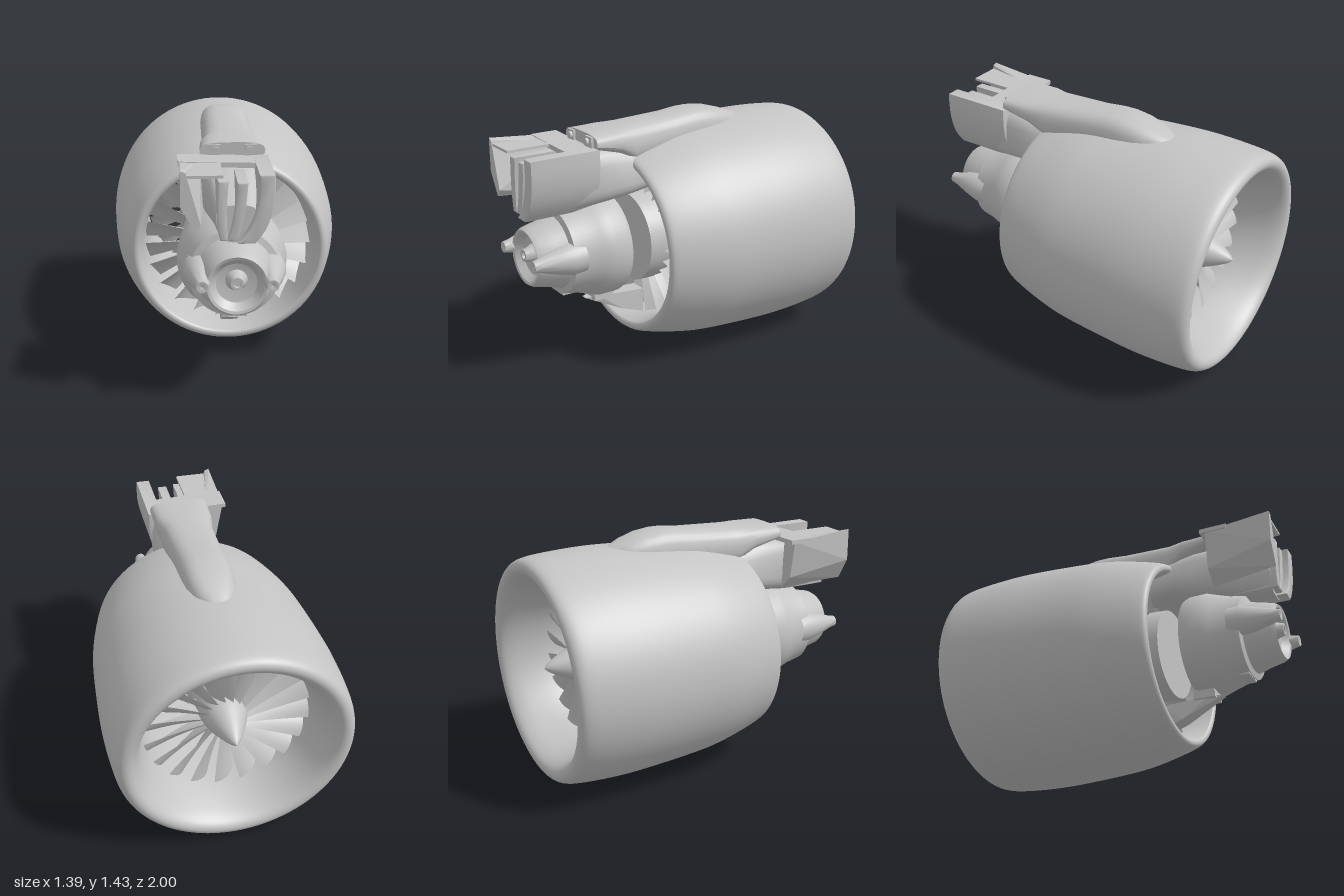
import * as THREE from 'three';
import { mergeVertices, toCreasedNormals } from 'three/addons/utils/BufferGeometryUtils.js';
import { ConvexGeometry } from 'three/addons/geometries/ConvexGeometry.js';

const CY = 0.68; // height of the engine axis

// Lathe around the z axis from [radius, z] points
function turned(points, segments, smooth) {
  let p = points.map(([r, z]) => new THREE.Vector2(r, z));
  if (smooth) p = new THREE.SplineCurve(p).getPoints(smooth).map(v => v.setX(Math.max(v.x, 0)));
  return new THREE.LatheGeometry(p, segments).rotateX(Math.PI / 2);
}

// Skin through sections [z, yBottom, yTop, halfWidthBottom, halfWidthTop]
function loft(sections, power, crease) {
  const n = 28, pos = [], idx = [];
  const bend = v => Math.sign(v) * Math.abs(v) ** power;
  for (const [z, yb, yt, wb, wt] of sections) {
    for (let j = 0; j < n; j++) {
      const a = j / n * Math.PI * 2, k = (bend(Math.sin(a)) + 1) / 2;
      pos.push(bend(Math.cos(a)) * (wb + (wt - wb) * k), yb + (yt - yb) * k, z);
    }
  }
  const last = sections.length - 1;
  for (let i = 0; i < last; i++) for (let j = 0; j < n; j++) {
    const a = i * n + j, b = i * n + (j + 1) % n;
    idx.push(a, b, a + n, b, b + n, a + n);
  }
  for (const [s, flip] of [[0, true], [last, false]]) {
    const c = pos.length / 3, [z, yb, yt] = sections[s];
    pos.push(0, (yb + yt) / 2, z);
    for (let j = 0; j < n; j++) {
      const a = s * n + j, b = s * n + (j + 1) % n;
      idx.push(c, flip ? b : a, flip ? a : b);
    }
  }
  const g = new THREE.BufferGeometry();
  g.setAttribute('position', new THREE.Float32BufferAttribute(pos, 3));
  g.setIndex(idx);
  return toCreasedNormals(g, crease);
}

// Twisted blade: span along +y, chord turns from the z axis toward x
function blade(r0, r1, chord0, chord1, twist0, twist1, sweep) {
  const g = new THREE.PlaneGeometry(1, 1, 6, 10), p = g.attributes.position;
  for (let i = 0; i < p.count; i++) {
    const c = p.getX(i), t = p.getY(i) + 0.5;
    const s = c * (chord0 + (chord1 - chord0) * t), a = twist0 + (twist1 - twist0) * t;
    const camber = 0.1 * (0.25 - c * c);
    const x = s * Math.sin(a) + camber * Math.cos(a);
    const r = r0 + (r1 - r0) * t;
    p.setXYZ(i, x, Math.sqrt(Math.max(r * r - x * x, 0)), s * Math.cos(a) - camber * Math.sin(a) + sweep * t * t);
  }
  g.computeVertexNormals();
  return g;
}

// Curved petal drawn in the xy plane and extruded along z
function petal([x0, x1], yBottom, [x2, x3], yTop, bulge, depth) {
  const s = new THREE.Shape();
  s.moveTo(x0, yBottom);
  s.lineTo(x1, yBottom);
  s.quadraticCurveTo(x3 + bulge, yBottom + 0.12, x3, yTop);
  s.lineTo(x2, yTop);
  s.quadraticCurveTo(x2 + bulge, yBottom + 0.12, x0, yBottom);
  const g = new THREE.ExtrudeGeometry(s, {
    depth: depth - 0.02, curveSegments: 8, bevelThickness: 0.01, bevelSize: 0.008, bevelOffset: -0.008, bevelSegments: 2 });
  return toCreasedNormals(g, 0.6);
}

export function createModel() {
  const root = new THREE.Group();
  root.name = 'jetEngine';
  const grey = new THREE.MeshStandardMaterial({ color: 0xc4c4c4, side: THREE.DoubleSide });
  grey.name = 'plain grey';
  const add = (name, geo, x = 0, y = 0, z = 0, parent = root) => {
    const m = new THREE.Mesh(geo, grey);
    m.name = name;
    m.position.set(x, y, z);
    parent.add(m);
    return m;
  };

  // Nacelle: duct, rounded intake lip and outer skin in one closed profile
  let shell = turned([
    [0.522, 0.325], [0.5, 0.2], [0.485, -0.1], [0.485, -0.5], [0.495, -0.7], [0.53, -0.87],
    [0.565, -0.96], [0.605, -0.996], [0.648, -0.988], [0.674, -0.935], [0.688, -0.8], [0.695, -0.6],
    [0.689, -0.4], [0.67, -0.12], [0.65, 0.03], [0.613, 0.19], [0.58, 0.3], [0.56, 0.332],
    [0.537, 0.336], [0.522, 0.325]], 96, 90);
  shell.deleteAttribute('uv');
  shell.deleteAttribute('normal');
  shell = mergeVertices(shell, 1e-4);
  const p = shell.attributes.position;
  for (let i = 0; i < p.count; i++) {
    // the lip leans back toward the bottom
    const front = THREE.MathUtils.smoothstep(-p.getZ(i), 0.6, 1);
    p.setZ(i, p.getZ(i) + 0.03 * front * (0.5 - p.getY(i) / 1.3));
    p.setY(i, p.getY(i) * 0.973);
  }
  shell.computeVertexNormals();
  add('nacelle', shell, 0, CY);

  // Spinner and inner hub
  add('spinner', turned([[0, -0.92], [0.035, -0.88], [0.085, -0.78], [0.125, -0.68], [0.145, -0.57],
    [0.16, -0.42], [0.22, -0.15], [0.27, 0.1], [0.27, 0.28]], 40, 40), 0, CY + 0.015);
  add('hubRearFace', new THREE.CircleGeometry(0.27, 40), 0, CY + 0.015, 0.28);

  // Intake fan and rear guide vanes
  const ring = (name, count, geo, z) => {
    const g = new THREE.Group();
    g.name = name;
    g.position.set(0, CY, z);
    g.scale.y = 0.98;
    root.add(g);
    for (let i = 0; i < count; i++) add(name + 'Blade', geo, 0, 0, 0, g).rotation.z = i / count * Math.PI * 2;
  };
  ring('intakeFan', 20, blade(0.11, 0.485, 0.17, 0.17, 0.4, 0.9, -0.03), -0.62);
  ring('guideVanes', 22, blade(0.22, 0.49, 0.2, 0.24, 0.5, 0.7, 0), 0.1);

  // Exhaust core with a dished nozzle
  const core = turned([[0, 0.42], [0.295, 0.42], [0.307, 0.45], [0.308, 0.55], [0.29, 0.6], [0.265, 0.68],
    [0.25, 0.765], [0.215, 0.775], [0.195, 0.84], [0.175, 0.93], [0.16, 0.955], [0.145, 0.95],
    [0.11, 0.91], [0.06, 0.9], [0, 0.9]], 48);
  add('exhaustCore', toCreasedNormals(core, 0.5), 0, 0.705);
  add('exhaustCone', toCreasedNormals(turned([[0.065, 0.89], [0.045, 0.93], [0.035, 0.965],
    [0.02, 0.965], [0.018, 0.95], [0, 0.95]], 24), 0.6), 0, 0.72);
  for (const s of [1, -1]) {
    add('sideNozzle', toCreasedNormals(turned([[0.095, 0.7], [0.095, 0.77], [0.072, 0.86], [0.04, 0.96],
      [0.032, 1], [0.015, 1], [0, 0.99]], 24), 0.8), s * 0.185, 0.72);
  }
  add('coreDrain', new THREE.BoxGeometry(0.14, 0.05, 0.2), 0, 0.475, 0.66);

  // Strut below the core
  const wedge = (name, pts) => add(name, new ConvexGeometry(pts.map(q => new THREE.Vector3(...q))));
  wedge('lowerStrut', [1, -1].flatMap(s => [
    [s * 0.02, 0.37, 0.585], [s * 0.04, 0.325, 0.46], [s * 0.05, 0.25, 0.34], [s * 0.05, 0.2, 0.2],
    [s * 0.05, 0.35, 0.2], [s * 0.04, 0.37, 0.5]]));
  add('strutLink', new THREE.BoxGeometry(0.12, 0.12, 0.13), 0, 0.415, 0.48);

  // Pylon fairing blending into the nacelle top
  add('pylonFairing', loft([
    [-0.53, 1.2, 1.342, 0.03, 0.02], [-0.47, 1.2, 1.362, 0.1, 0.08], [-0.4, 1.2, 1.39, 0.135, 0.11],
    [-0.3, 1.2, 1.418, 0.155, 0.13], [-0.2, 1.2, 1.43, 0.16, 0.135], [-0.12, 1.2, 1.429, 0.16, 0.135],
    [0, 1.2, 1.415, 0.16, 0.135],
    [0.3, 1.18, 1.4, 0.165, 0.145], [0.4, 1.25, 1.395, 0.18, 0.165], [0.57, 1.3, 1.385, 0.185, 0.17]],
  0.65, 0.7));
  for (const s of [1, -1]) {
    add('fairingEndBlock', new THREE.BoxGeometry(0.07, 0.06, 0.05), s * 0.1, 1.345, 0.56);
    add('fairingEndBolt', new THREE.CylinderGeometry(0.022, 0.022, 0.02, 8).rotateX(Math.PI / 2), s * 0.09, 1.345, 0.59);
  }

  // Pylon body joining the nacelle and the core
  add('pylonBody', loft([
    [0.1, 1.02, 1.26, 0.16, 0.14], [0.34, 1.0, 1.28, 0.22, 0.15], [0.46, 0.98, 1.3, 0.2, 0.16],
    [0.6, 0.96, 1.3, 0.17, 0.17], [0.75, 0.945, 1.24, 0.12, 0.15], [0.93, 0.94, 1.14, 0.09, 0.12]], 0.6, 0.6));
  wedge('pylonDeck', [0.57, 0.735].flatMap(z => [
    [-0.3, 1.325, z], [-0.3, 1.3, z], [0.18, 1.31, z], [0.18, 1.28, z]]));

  // Rear petals fanning up from the narrow keel
  add('leftPetal', petal([0, 0.09], 0.95, [0.11, 0.19], 1.315, 0.02, 0.43), 0, 0, 0.57);
  add('middlePetal', petal([-0.05, 0], 0.96, [0, 0.055], 1.27, -0.01, 0.28), 0, 0, 0.7);
  add('rightPetal', petal([-0.09, -0.05], 0.96, [-0.1, -0.045], 1.28, -0.015, 0.28), 0, 0, 0.7);

  // Side fin standing off the pylon, with its flat top
  wedge('sideFin', [
    [-0.292, 1.345, 1], [-0.265, 1.335, 1], [-0.292, 1.15, 1], [-0.215, 1.02, 1], [-0.19, 1.06, 1],
    [-0.29, 1.31, 0.6], [-0.18, 1.3, 0.6], [-0.25, 1.08, 0.6], [-0.16, 1.0, 0.6]]);
  add('finTop', new THREE.BoxGeometry(0.2, 0.015, 0.27), -0.175, 1.31, 0.86);

  return root;
}
